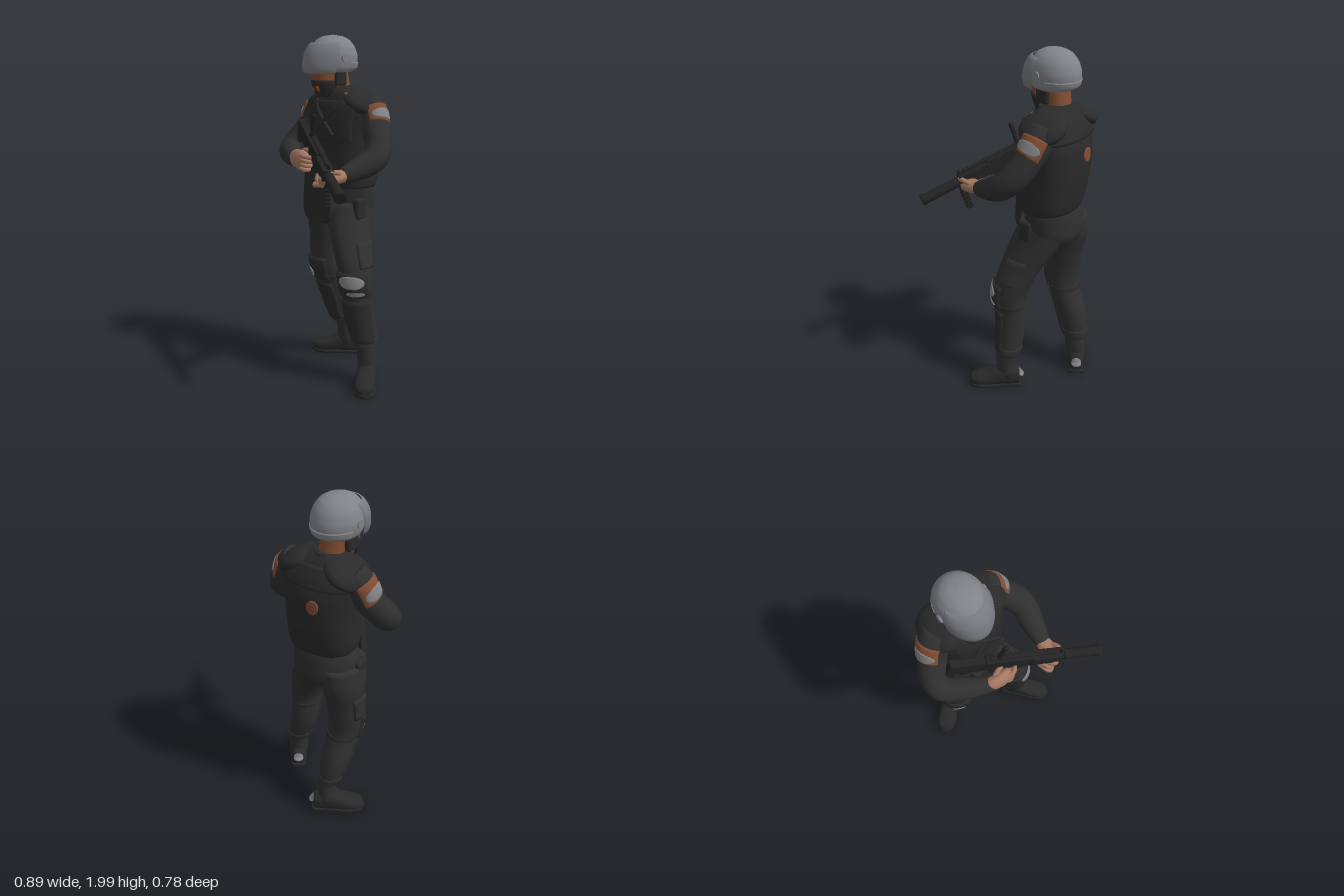
import * as THREE from 'three';
import { RoundedBoxGeometry } from 'three/addons/geometries/RoundedBoxGeometry.js';

const V = (x, y, z) => new THREE.Vector3(x, y, z);
const paint = (name, color) => Object.assign(new THREE.MeshStandardMaterial({ color }), { name });
const UP = V(0, 1, 0);

// Smooth body through cross-sections [x, y, z, radiusA, radiusB].
// With from/to/a0/a1/grow it makes a raised pad lying over part of that body; oval rounds the pad's outline.
function loft(rows, { axis = null, ref = V(1, 0, 0), p = 2, from = 0, to = rows.length - 1, a0 = 0, a1 = Math.PI * 2, grow = 0, oval = false } = {}) {
  const path = new THREE.CatmullRomCurve3(rows.map(r => V(r[0], r[1], r[2])));
  const size = new THREE.CatmullRomCurve3(rows.map(r => V(r[3], r[4] ?? r[3], 0)));
  const pad = grow > 0;
  const n = pad ? 12 : (rows.length - 1) * 4, m = pad ? 14 : 28;
  const edge = (i, k) => !pad ? i / k : i === 0 ? 0 : i === k ? 1 : 0.03 + 0.94 * (i - 1) / (k - 2);
  const pos = [], idx = [], cols = pad ? m + 1 : m;
  const pw = v => Math.sign(v) * Math.abs(v) ** (2 / p);
  for (let i = 0; i <= n; i++) {
    const u = edge(i, n), t = (from + (to - from) * u) / (rows.length - 1);
    const c = path.getPoint(t), s = size.getPoint(t);
    const d = axis ? axis.clone() : path.getTangent(t);
    const a = ref.clone().addScaledVector(d, -ref.dot(d)).normalize();
    const b = d.clone().cross(a);
    const w = oval ? Math.sqrt(Math.max(0.04, 1 - (2 * u - 1) ** 2)) : 1;
    for (let j = 0; j < cols; j++) {
      const th = (a0 + a1) / 2 + (a1 - a0) * w * (edge(j, m) - 0.5);
      const g = !pad ? 0 : i === 0 || i === n || j === 0 || j === m ? -0.004 : grow;
      const q = c.clone().addScaledVector(a, pw(Math.cos(th)) * (Math.max(s.x, 0) + g)).addScaledVector(b, pw(Math.sin(th)) * (Math.max(s.y, 0) + g));
      pos.push(q.x, q.y, q.z);
    }
  }
  for (let i = 0; i < n; i++) for (let j = 0; j < m; j++) {
    const k = (j + 1) % cols, r = i * cols, u = r + cols;
    idx.push(r + j, r + k, u + j, r + k, u + k, u + j);
  }
  if (!pad) { // end caps
    const f = rows[0], l = rows[rows.length - 1], e = pos.length / 3;
    pos.push(f[0], f[1], f[2], l[0], l[1], l[2]);
    for (let j = 0; j < m; j++) {
      const k = (j + 1) % m;
      idx.push(e, k, j, e + 1, n * cols + j, n * cols + k);
    }
  }
  const geo = new THREE.BufferGeometry();
  geo.setAttribute('position', new THREE.Float32BufferAttribute(pos, 3));
  geo.setIndex(idx);
  geo.computeVertexNormals();
  return geo;
}

export function createModel() {
  const root = new THREE.Group();
  const M = {
    cloth: paint('uniform cloth', 0x2f2f2f), vest: paint('vest', 0x2a2a2b), boot: paint('boot leather', 0x292929),
    gun: paint('gunmetal', 0x232324), helmet: paint('helmet shell', 0x818387), visor: paint('visor', 0x78797e),
    patch: paint('patch grey', 0x828386), brown: paint('brown', 0x814d31), skin: paint('hand skin', 0xa57862),
  };
  const add = (name, geo, mat, parent = root) => {
    const mesh = new THREE.Mesh(geo, mat);
    mesh.name = name;
    parent.add(mesh);
    return mesh;
  };
  const box = (name, w, h, d, x, y, z, mat, parent = root, r = 0.008) => {
    const mesh = add(name, new RoundedBoxGeometry(w, h, d, 3, r), mat, parent);
    mesh.position.set(x, y, z);
    return mesh;
  };
  const ball = (name, x, y, z, sx, sy, sz, mat, rz = 0) => {
    const mesh = add(name, new THREE.SphereGeometry(1, 28, 18), mat);
    mesh.position.set(x, y, z);
    mesh.scale.set(sx, sy, sz);
    mesh.rotation.z = rz;
  };
  const tube = (name, pts, r, mat, parent = root) => add(name, new THREE.TubeGeometry(new THREE.CatmullRomCurve3(pts.map(q => V(...q))), 20, r, 8), mat, parent);
  const H = { axis: UP };
  const FRONT = Math.PI * 1.5, BACK = Math.PI / 2;

  // Torso and hips
  const torso = [[-.05, 1.14, -.165, .192, .146], [-.055, 1.2, -.17, .203, .158], [-.06, 1.35, -.182, .203, .168], [-.065, 1.5, -.182, .215, .165],
    [-.065, 1.6, -.175, .225, .14], [-.07, 1.67, -.17, .165, .108], [-.09, 1.71, -.165, .085, .075]];
  add('vest', loft(torso, { ...H, p: 2.3 }), M.vest);
  const onTorso = (name, from, to, mid, half, grow, mat, oval) => add(name, loft(torso, { ...H, p: 2.3, from, to, a0: mid - half, a1: mid + half, grow, oval }), mat);
  onTorso('chestPlate', 2.3, 4.5, FRONT, .85, .01, M.vest);
  onTorso('upperBackYoke', 3.5, 4.9, BACK, 1.3, .012, M.vest);
  onTorso('backMark', 2.45, 3, BACK + .17, .15, .005, M.brown, true);
  onTorso('collarMark', 4.8, 5.15, FRONT - .3, .13, .008, M.brown);
  onTorso('collarMark', 4.8, 5.2, FRONT + .75, .15, .008, M.brown);
  for (const [s, x] of [[1, .075], [-1, -.21]]) {
    ball('shoulderPad', x, 1.625, -.185, .125, .058, .135, M.vest, -s * .5);
    tube('chestStrap', [[-.07 + s * .12, 1.66, -.08], [-.07 + s * .06, 1.58, -.025], [-.07 - s * .08, 1.44, .002]], .012, M.vest);
  }
  add('hips', loft([[-.075, .86, -.165, .06, .05], [-.075, .91, -.17, .15, .115], [-.075, 1.0, -.175, .197, .152], [-.065, 1.1, -.17, .195, .148], [-.055, 1.16, -.165, .185, .14]], H), M.cloth);
  const flap = new THREE.Shape();
  flap.moveTo(-.09, .31).lineTo(.09, .31).lineTo(.108, .1).quadraticCurveTo(.105, 0, .03, 0).lineTo(-.03, 0).quadraticCurveTo(-.105, 0, -.108, .1).lineTo(-.09, .31);
  add('groinFlap', new THREE.ExtrudeGeometry(flap, { depth: .03, bevelSize: .008, bevelThickness: .01, bevelSegments: 4 }), M.vest).position.set(-.087, .938, -.004);
  box('hipPouch', .05, .06, .09, -.268, 1.05, -.14, M.vest, root, .015);
  box('hipPouch', .045, .12, .08, .117, 1.02, -.11, M.vest, root, .015);

  // Legs with knee pads, shin guards, pockets and boots
  const legs = {
    left: { s: 1, yaw: .63, knee: FRONT + .4, greys: [[4.95, 5.7, .5, .75], [4.4, 4.72, .7, .55]], rows: [[.243, .08, -.055, .052, .057], [.235, .22, -.055, .058, .062], [.225, .25, -.06, .066, .075], [.185, .4, -.055, .085, .088], [.173, .52, -.045, .083, .093],
      [.172, .6, -.035, .09, .1], [.145, .7, -.05, .098, .112], [.1, .8, -.075, .102, .127], [.035, .95, -.13, .108, .15], [.015, 1.05, -.155, .105, .14]] },
    right: { s: -1, yaw: -.96, knee: FRONT - .35, greys: [[4.3, 5.1, -.6, .42]], rows: [[-.155, .08, -.3, .052, .057], [-.155, .22, -.285, .054, .062], [-.165, .25, -.275, .066, .078], [-.18, .4, -.235, .085, .093], [-.185, .52, -.185, .088, .09],
      [-.19, .6, -.162, .096, .095], [-.195, .7, -.16, .1, .105], [-.19, .8, -.165, .105, .115], [-.185, .95, -.17, .112, .148], [-.18, 1.05, -.165, .11, .145]] },
  };
  for (const [side, { s, yaw, knee, greys, rows }] of Object.entries(legs)) {
    const pad = (name, from, to, mid, half, grow, mat, oval) => add(side + name, loft(rows, { ...H, from, to, a0: mid - half, a1: mid + half, grow, oval }), mat);
    const out = s > 0 ? Math.PI * 2 : Math.PI;
    add(side + 'Leg', loft(rows, H), M.cloth);
    pad('TrouserCuff', 1.6, 2.3, out, 3.1, .006, M.cloth);
    pad('ShinGuard', 2.1, 3.95, knee, 1.2, .01, M.vest);
    pad('KneePad', 4.2, 5.8, knee, 1.1, .014, M.vest);
    pad('KneeStrap', 4.25, 4.5, out, 3.1, .005, M.vest);
    for (const [from, to, turn, half] of greys) pad('KneeGrey', from, to, FRONT + turn, half, .019, M.patch, true);
    pad('CargoPocket', 6, 7.3, out, .5, .011, M.cloth);

    const boot = new THREE.Group();
    boot.name = side + 'Boot';
    boot.position.set(rows[0][0], 0, rows[0][2]);
    boot.rotation.y = yaw;
    const foot = { axis: V(0, 0, 1), p: 2.5 };
    add('bootUpper', loft([[0, .065, -.088, .015, .025], [0, .07, -.078, .042, .055], [0, .08, 0, .054, .068], [0, .072, .05, .056, .06], [0, .057, .11, .06, .046], [0, .049, .17, .058, .036], [0, .042, .21, .038, .026], [0, .036, .222, .01, .01]], foot), M.boot, boot);
    add('bootSole', loft([[0, .02, -.093, .025, .01], [0, .02, -.083, .045, .014], [0, .02, .03, .052, .014], [0, .02, .13, .064, .014], [0, .02, .195, .052, .014], [0, .02, .227, .015, .01]], { ...foot, p: 4 }), M.boot, boot);
    const heel = [[0, .05, -.018, .05, .071], [0, .09, -.018, .05, .071], [0, .13, -.014, .045, .06]];
    add('heelPatch', loft(heel, { ...H, from: .4, to: 1.7, a0: BACK - .6, a1: BACK + .6, grow: .006, oval: true }), M.patch, boot);
    root.add(boot);
  }

  // Arms with shoulder patches
  const arms = {
    left: { s: 1, ref: V(1, 0, 0), rows: [[.085, 1.62, -.2, .075], [.13, 1.57, -.195, .083], [.175, 1.49, -.175, .08], [.25, 1.385, -.12, .077], [.272, 1.33, -.06, .073], [.25, 1.29, .02, .066], [.225, 1.255, .12, .046], [.22, 1.25, .14, .038]] },
    right: { s: -1, ref: V(-.6, 0, .8), rows: [[-.23, 1.62, -.18, .075], [-.275, 1.57, -.17, .083], [-.312, 1.48, -.145, .078], [-.368, 1.385, -.09, .074], [-.368, 1.33, -.03, .071], [-.28, 1.315, .05, .062], [-.17, 1.305, .12, .045], [-.15, 1.305, .13, .038]] },
  };
  for (const [side, { s, ref, rows }] of Object.entries(arms)) {
    add(side + 'Arm', loft(rows, { ref }), M.cloth);
    const flat = (name, from, to, half, grow, mat, oval) => add(side + name, loft(rows, { ref: V(s, .3, 0), from, to, a0: -half, a1: half, grow, oval }), mat);
    flat('SleevePatch', .9, 2, 1.2, .005, M.brown);
    flat('SleevePatchGrey', 1.2, 1.85, 1, .009, M.patch, true);
  }

  // Hands
  add('rightHand', loft([[-.19, 1.305, .11, .036], [-.145, 1.312, .135, .052, .036], [-.09, 1.307, .145, .058, .036], [-.055, 1.295, .14, .046, .028], [-.035, 1.29, .135, .015]], { ref: UP }), M.skin);
  add('leftHand', loft([[.222, 1.255, .12, .036], [.217, 1.25, .165, .046, .036], [.205, 1.245, .215, .052, .038], [.188, 1.24, .255, .04, .03], [.18, 1.24, .275, .012]], { ref: V(1, 0, 0) }), M.skin);
  for (let i = 0; i < 4; i++) {
    const y = 1.338 - i * .024, o = i * .014;
    tube('rightFinger', [[-.08, y, .165], [-.035 - o * .4, y - .005, .168], [-.005 - o, y - .01, .14], [-.02 - o, y - .01, .115]], .0125, M.skin);
    tube('leftFinger', [[.225 - o, 1.225, .21 + o], [.185 - o, 1.21, .245 + o * .6], [.142 - o * .5, 1.235, .25 - o], [.133 - o * .4, 1.265, .235 - o]], .0125, M.skin);
  }
  tube('rightThumb', [[-.13, 1.34, .12], [-.09, 1.362, .11], [-.04, 1.355, .1]], .015, M.skin);
  tube('leftThumb', [[.24, 1.27, .18], [.25, 1.285, .22], [.24, 1.285, .255]], .014, M.skin);

  // Rifle, built along its own z axis
  const gun = new THREE.Group();
  gun.name = 'rifle';
  gun.position.set(-.3, 1.48, -.05);
  gun.lookAt(.43, 1.19, .37);
  root.add(gun);
  const part = (name, w, h, d, y, z, x = 0) => box(name, w, h, d, x, y, z, M.gun, gun, .006);
  part('stockButt', .045, .13, .05, -.025, .03);
  part('stock', .042, .095, .18, -.012, .12);
  part('receiver', .055, .09, .28, 0, .34);
  part('handguard', .064, .066, .19, 0, .56);
  part('topRail', .022, .018, .4, .047, .42);
  part('rearSight', .024, .14, .022, .11, .27);
  part('frontSight', .016, .03, .02, .05, .64);
  part('pistolGrip', .035, .1, .045, -.08, .3).rotation.x = .3;
  part('magazine', .032, .07, .06, -.06, .42).rotation.x = -.15;
  part('foregrip', .03, .16, .034, -.1, .655);
  for (let i = 0; i < 5; i++) part('foregripRib', .036, .012, .042, -.075 - i * .024, .657);
  const round = (name, r, len, z) => {
    const mesh = add(name, new THREE.CylinderGeometry(r, r, len, 24), M.gun, gun);
    mesh.rotation.x = Math.PI / 2;
    mesh.position.z = z;
  };
  round('barrel', .02, .2, .62);
  round('suppressor', .029, .22, .775);
  round('muzzleRing', .032, .02, .88);

  // Head, mask, helmet and visor
  add('neck', loft([[-.085, 1.64, -.175, .08, .075], [-.1, 1.7, -.165, .068, .066], [-.11, 1.8, -.14, .07, .075]], H), M.brown);
  add('collar', loft([[-.08, 1.64, -.17, .12, .1], [-.085, 1.69, -.17, .095, .085], [-.09, 1.715, -.17, .075, .072]], H), M.vest);
  const head = new THREE.Group();
  head.name = 'head';
  head.position.set(-.115, 0, -.1);
  head.rotation.y = -.12;
  root.add(head);
  const face = [[0, 1.645, .045, .025, .02], [0, 1.66, .03, .05, .045], [0, 1.7, .015, .07, .08], [0, 1.75, .005, .08, .105], [0, 1.82, 0, .088, .115]];
  add('face', loft(face, H), M.brown, head);
  const onFace = (name, from, to, mid, half, grow, mat) => add(name, loft(face, { ...H, from, to, a0: mid - half, a1: mid + half, grow }), mat, head);
  onFace('mask', .1, 2.95, FRONT, 1.5, .008, M.vest);
  onFace('maskGap', 1.7, 2.1, FRONT - .35, .2, .012, M.brown);
  onFace('maskGap', 1.6, 2.3, FRONT + .25, .12, .012, M.brown);
  for (const s of [-1, 1]) {
    box('earCup', .035, .09, .08, s * .08, 1.76, -.015, M.vest, head, .014);
    tube('chinStrap', [[s * .085, 1.78, -.02], [s * .078, 1.71, .02], [s * .045, 1.665, .06]], .009, M.vest, head);
  }
  const shell = [[0, 1.8, -.03, .07, .08], [0, 1.79, -.022, .1, .115], [0, 1.815, -.027, .12, .143], [0, 1.87, -.027, .129, .15], [0, 1.93, -.025, .117, .133], [0, 1.97, -.025, .087, .1], [0, 1.99, -.025, .05, .06], [0, 1.998, -.025, .004, .004]];
  add('helmet', loft(shell, H), M.helmet, head);
  add('helmetRim', loft(shell, { ...H, from: 1.6, to: 2.6, a0: BACK - 1.4, a1: BACK + 1.4, grow: .005 }), M.helmet, head);
  const glass = [[0, 1.782, .018, .108, .14], [0, 1.83, .006, .124, .157], [0, 1.89, -.006, .13, .155], [0, 1.935, -.014, .118, .138], [0, 1.955, -.018, .104, .122]];
  add('visor', loft(glass, { ...H, a0: FRONT - 1.4, a1: FRONT + 1.4, grow: .006 }), M.visor, head);
  for (const s of [-1, 1]) {
    const hinge = add('visorHinge', new THREE.CylinderGeometry(.022, .022, .012, 20), M.helmet, head);
    hinge.rotation.z = Math.PI / 2;
    hinge.position.set(s * .129, 1.87, -.01);
  }
  return root;
}
